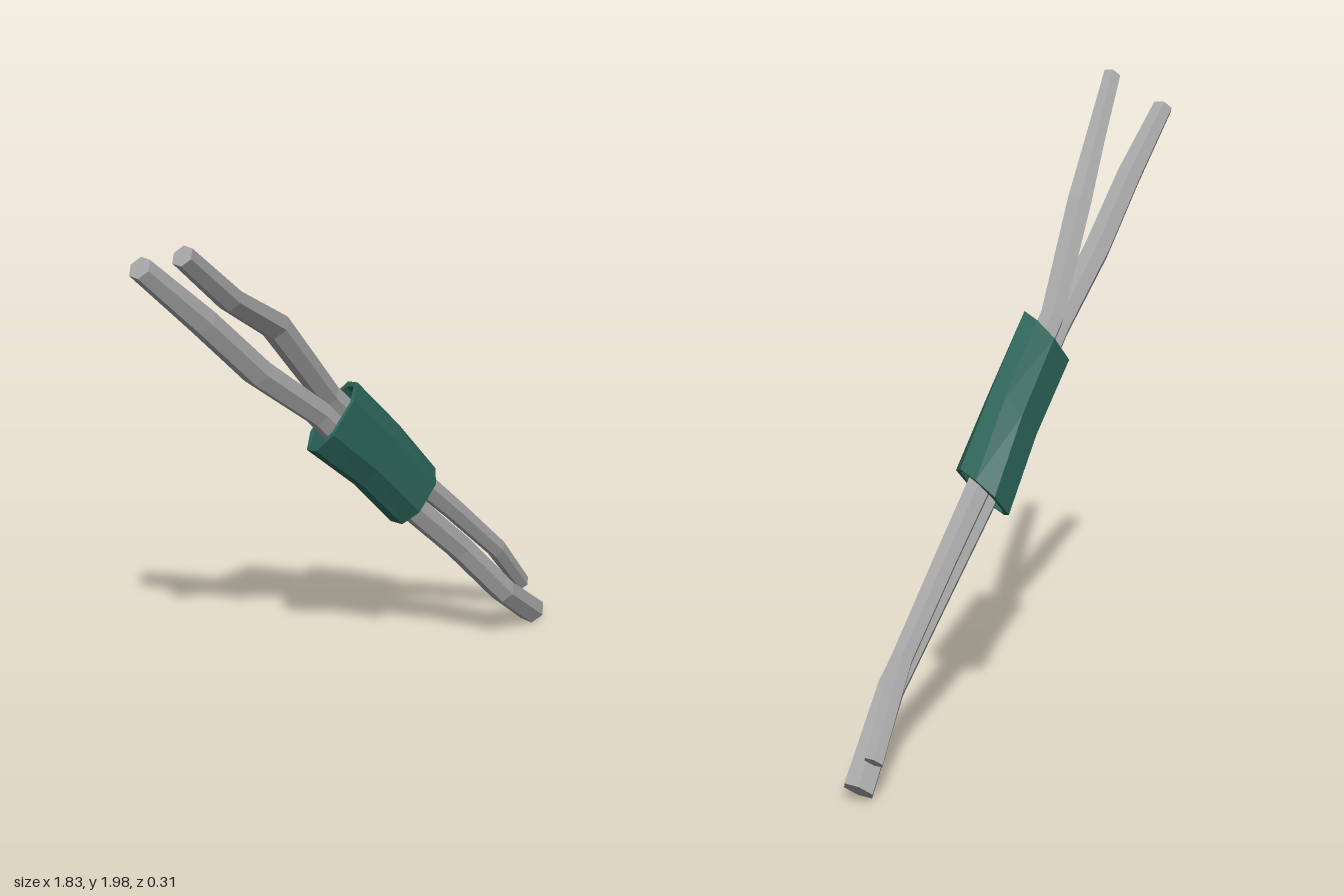
import * as THREE from 'three';

// Cross-sections lie in the plane of ACROSS and z; the cable runs along ACROSS x z.
const ACROSS = new THREE.Vector3(0.74, 0.67, 0).normalize();
const ALONG = ACROSS.clone().cross(new THREE.Vector3(0, 0, 1));

// Skins a list of rings (equal-length point arrays), counterclockwise about ALONG.
function skin(rings, material, name) {
  const n = rings[0].length;
  const index = [];
  for (let i = 0; i < rings.length - 1; i++) {
    for (let j = 0; j < n; j++) {
      const k = (j + 1) % n;
      const a = i * n + j, b = i * n + k, c = (i + 1) * n + k, d = (i + 1) * n + j;
      index.push(a, b, c, a, c, d);
    }
  }
  let geometry = new THREE.BufferGeometry().setFromPoints(rings.flat());
  geometry.setIndex(index);
  geometry = geometry.toNonIndexed();
  geometry.computeVertexNormals();
  const mesh = new THREE.Mesh(geometry, material);
  mesh.name = name;
  return mesh;
}

function ringPoint(center, p, z, along = 0) {
  return new THREE.Vector3(...center)
    .addScaledVector(ACROSS, p)
    .addScaledVector(ALONG, along)
    .add(new THREE.Vector3(0, 0, z));
}

// Six-sided wire through stations [x, y, z, radius], closed at both ends.
function wire(stations, material, name) {
  const ring = ([x, y, z, r]) => Array.from({ length: 6 }, (_, i) => {
    const t = Math.PI / 6 + i * Math.PI / 3;
    return ringPoint([x, y, z], Math.cos(t) * r, Math.sin(t) * r);
  });
  const cap = ([x, y, z]) => ring([x, y, z, 0]);
  const rings = [cap(stations[0]), ...stations.map(ring), cap(stations[stations.length - 1])];
  return skin(rings, material, name);
}

// Thick-walled sleeve with slanted open ends; stations are [x, y, z, halfWidth, halfDepth].
function sleeve(stations, material, name) {
  const outline = [[1, -0.4], [1, 0.4], [0.5, 1], [-0.5, 1], [-1, 0.4], [-1, -0.4], [-0.5, -1], [0.5, -1]];
  const slant = -0.035;
  const ring = ([x, y, z, w, d], scale) => outline.map(([p, q]) =>
    ringPoint([x, y, z], p * w * scale, q * d * scale, q * slant));
  const outer = stations.map(s => ring(s, 1));
  const inner = stations.map(s => ring(s, 0.86)).reverse();
  return skin([...outer, ...inner, outer[0]], material, name);
}

export function createModel() {
  const model = new THREE.Group();
  model.name = 'splicedCable';

  const grey = new THREE.MeshStandardMaterial({ color: 0xa6a6a6, flatShading: true });
  grey.name = 'wireGrey';
  const green = new THREE.MeshStandardMaterial({ color: 0x2c665a, flatShading: true });
  green.name = 'sleeveGreen';

  // Wire along the upper side
  model.add(wire([
    [-0.90, 1.975, 0.125, 0.033],
    [-0.68, 1.77, 0.065, 0.038],
    [-0.43, 1.59, -0.02, 0.045],
    [-0.16, 1.26, -0.08, 0.042],
    [0.25, 0.82, -0.08, 0.042],
    [0.45, 0.62, -0.08, 0.038],
    [0.68, 0.38, -0.08, 0.035],
    [0.88, 0.14, -0.12, 0.031],
  ], grey, 'upperWire'));

  // Wire along the lower side
  model.add(wire([
    [-0.865, 1.875, -0.09, 0.036],
    [-0.66, 1.66, -0.075, 0.044],
    [-0.46, 1.44, -0.07, 0.046],
    [-0.21, 1.22, -0.07, 0.043],
    [0.21, 0.73, -0.05, 0.046],
    [0.42, 0.51, -0.035, 0.046],
    [0.63, 0.26, -0.005, 0.046],
    [0.88, 0.042, -0.065, 0.05],
  ], grey, 'lowerWire'));

  // Sleeve holding both wires together
  model.add(sleeve([
    [-0.16, 1.195, -0.06, 0.125, 0.072],
    [0.04, 0.99, -0.062, 0.114, 0.074],
    [0.22, 0.775, -0.064, 0.108, 0.085],
  ], green, 'sleeve'));

  return model;
}
